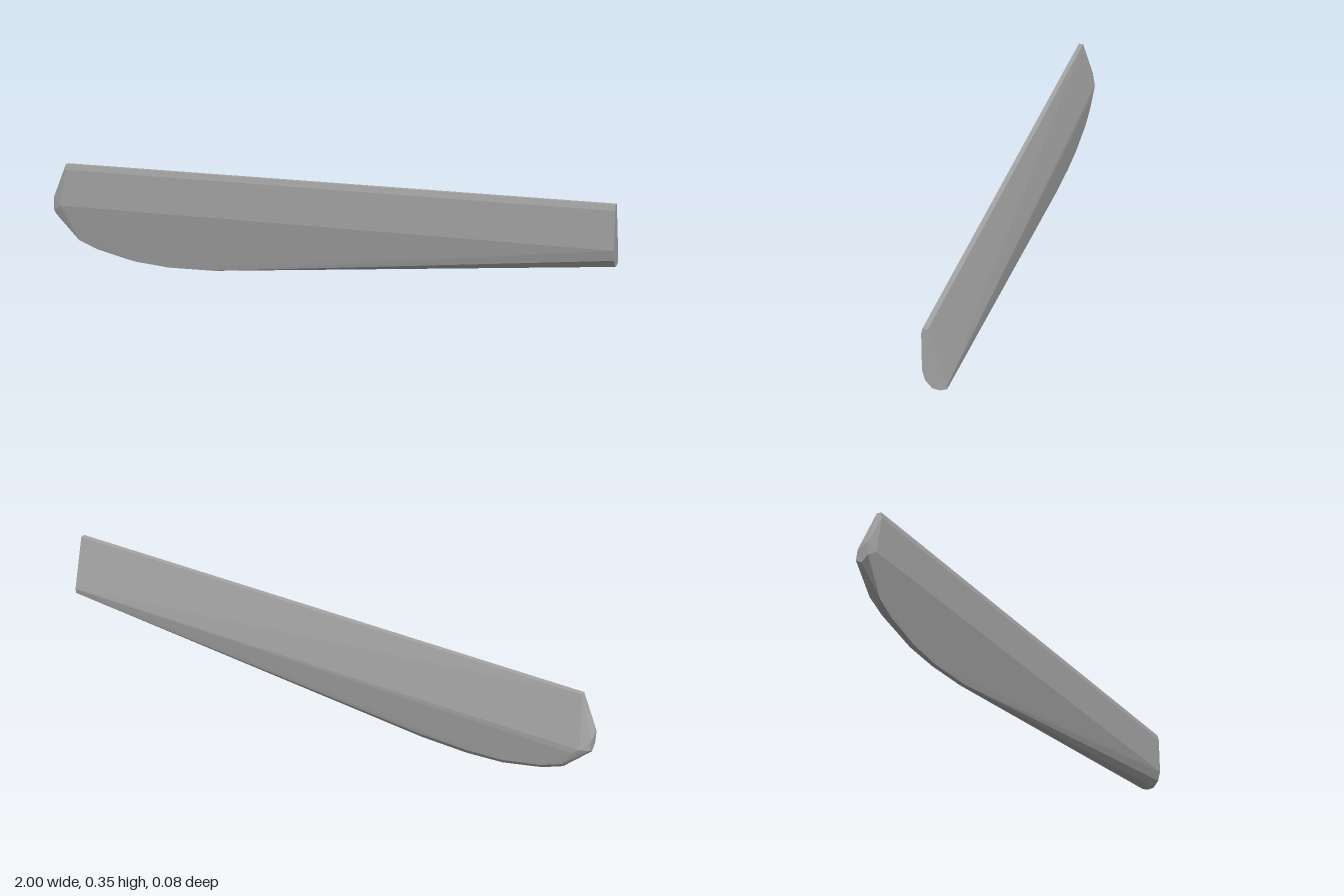
import * as THREE from 'three';
import { ConvexGeometry } from 'three/addons/geometries/ConvexGeometry.js';

export function createModel() {
  const group = new THREE.Group();
  group.name = 'bladeModel';
  const grey = new THREE.MeshStandardMaterial({ color: 0xa6a6a6 });
  grey.name = 'plain grey';

  // Cross-sections along the blade: x, then [z, y] corners
  const sections = [
    // flat root end
    [1, [[0.035, 0.35], [0.018, 0.35], [-0.038, 0.162], [-0.036, 0.145], [-0.014, 0.137],
      [0.01, 0.14], [0.031, 0.165], [0.04, 0.2], [0.039, 0.33]]],
    // rounded belly
    [-0.4, [[0.008, 0.004], [-0.006, 0.003], [-0.018, 0.022]]],
    [-0.57, [[0.008, 0.001], [-0.006, 0], [-0.018, 0.02]]],
    [-0.7, [[0.01, 0.012], [-0.006, 0.01], [-0.018, 0.028]]],
    [-0.84, [[0.014, 0.045], [-0.004, 0.042], [-0.019, 0.06]]],
    [-0.91, [[0.019, 0.074], [0, 0.07], [-0.019, 0.09]]],
    // tip
    [-0.945, [[0.035, 0.35], [0.019, 0.35], [-0.025, 0.15], [0.039, 0.33]]],
    [-0.97, [[0.04, 0.2], [-0.024, 0.17]]],
    [-1, [[0.03, 0.225], [0.03, 0.18], [0.008, 0.158], [-0.012, 0.17], [-0.008, 0.205]]],
  ];
  const points = sections.flatMap(([x, ring]) =>
    ring.map(([z, y]) => new THREE.Vector3(x, y, z)));

  // Faceted solid stretched over the sections
  const blade = new THREE.Mesh(new ConvexGeometry(points), grey);
  blade.name = 'blade';
  group.add(blade);
  return group;
}
